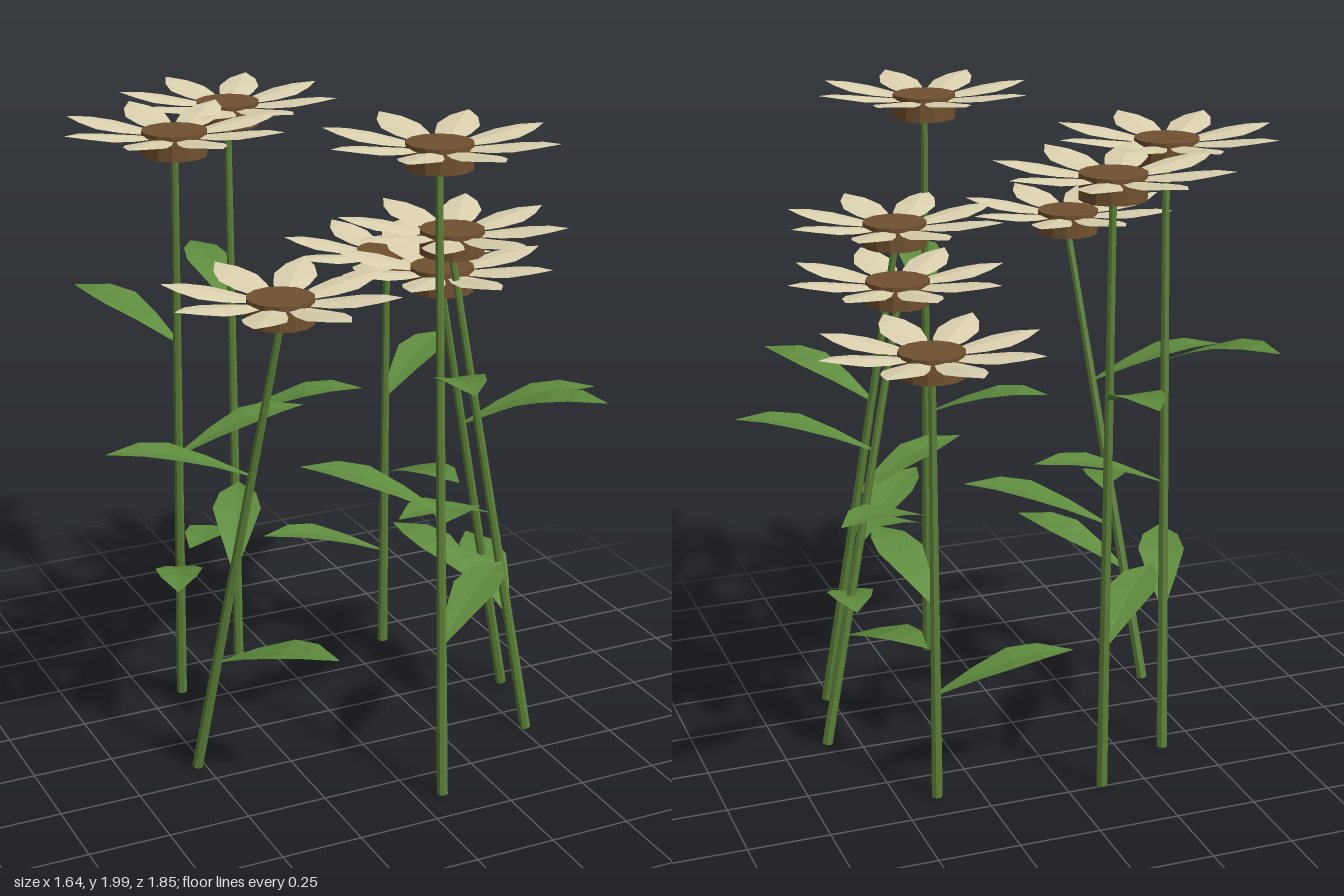
import * as THREE from 'three';

const mat = (color, side = THREE.FrontSide) =>
  new THREE.MeshStandardMaterial({ color, flatShading: true, side });
const stemMat = mat(0x5c8038);
const leafMat = mat(0x5f8c3e, THREE.DoubleSide);
const petalMat = mat(0xdcd2b0, THREE.DoubleSide);
const discMat = mat(0x70502f);

// Blade along +x from cross-sections [x, half width, height], creased along the midrib
function bladeGeometry(sections, fold) {
  const pos = [], idx = [];
  for (const [x, w, y] of sections) {
    pos.push(x, y + fold * w, -w, x, y, 0, x, y + fold * w, w);
  }
  for (let i = 0; i < sections.length - 1; i++) {
    for (let j = 0; j < 2; j++) {
      const a = i * 3 + j, b = a + 1, c = a + 3, d = a + 4;
      idx.push(a, b, c, b, d, c);
    }
  }
  const g = new THREE.BufferGeometry();
  g.setAttribute('position', new THREE.Float32BufferAttribute(pos, 3));
  g.setIndex(idx);
  g.computeVertexNormals();
  return g;
}

const leafGeo = bladeGeometry([
  [0, 0.008, 0], [0.12, 0.045, 0.052], [0.23, 0.073, 0.09], [0.32, 0.056, 0.106], [0.42, 0.002, 0.106],
], 0.12);
const petalGeo = bladeGeometry([
  [0.07, 0.025, 0.062], [0.15, 0.052, 0.072], [0.22, 0.063, 0.082], [0.285, 0.042, 0.09], [0.342, 0.002, 0.092],
], -0.12);
const discGeo = new THREE.CylinderGeometry(0.098, 0.098, 0.075, 14);
discGeo.translate(0, 0.0375, 0);

// Stem base [x, z], head [x, y, z], petal turn and leaf bearings from low to high (degrees)
const flowers = [
  { base: [-0.11, -0.495], head: [-0.11, 1.84, -0.515], turn: 12.5, leaves: [-133, -27, 86] },
  { base: [0.385, -0.39], head: [0.38, 1.335, -0.375], turn: 6, leaves: [172, -82, 35] },
  { base: [-0.385, -0.325], head: [-0.42, 1.85, -0.18], turn: 2, leaves: [-112, -2, 118] },
  { base: [0.515, 0.37], head: [0.30, 1.565, 0.215], turn: 10, leaves: [80, -160, -53] },
  { base: [-0.525, 0.16], head: [-0.35, 1.5, 0.425], turn: 9.5, leaves: [-54, 65, 169] },
  { base: [0.08, 0.63], head: [0.12, 1.9, 0.465], turn: 3, leaves: [36, 142, -105] },
  { base: [0.60, 0.06], head: [0.33, 1.415, 0.10], turn: 2, leaves: [110, -133, -18] },
];
const leafHeights = [0.25, 0.467, 0.675];

function add(parent, name, geo, material) {
  const m = new THREE.Mesh(geo, material);
  m.name = name;
  parent.add(m);
  return m;
}

function makeFlower({ base, head, turn, leaves }) {
  const flower = new THREE.Group();
  flower.name = 'flower';
  const foot = new THREE.Vector3(base[0], 0.01, base[1]);
  const top = new THREE.Vector3(...head);

  // Tapered leaning stem
  const dir = top.clone().sub(foot);
  const stem = add(flower, 'stem', new THREE.CylinderGeometry(0.011, 0.017, dir.length() + 0.01, 7), stemMat);
  stem.position.copy(foot).add(top).multiplyScalar(0.5);
  stem.quaternion.setFromUnitVectors(new THREE.Vector3(0, 1, 0), dir.normalize());

  // Three leaves climbing round the stem
  leaves.forEach((deg, i) => {
    const leaf = add(flower, 'leaf', leafGeo, leafMat);
    leaf.position.lerpVectors(foot, top, leafHeights[i]);
    leaf.rotation.y = THREE.MathUtils.degToRad(deg);
  });

  // Flower head: disc and eight petals
  const bloom = new THREE.Group();
  bloom.name = 'flowerHead';
  bloom.position.copy(top);
  add(bloom, 'disc', discGeo, discMat);
  for (let i = 0; i < 8; i++) {
    add(bloom, 'petal', petalGeo, petalMat).rotation.y = THREE.MathUtils.degToRad(turn + i * 45);
  }
  flower.add(bloom);
  return flower;
}

export function createModel() {
  const group = new THREE.Group();
  group.name = 'flowerCluster';
  flowers.forEach((f) => group.add(makeFlower(f)));
  return group;
}
